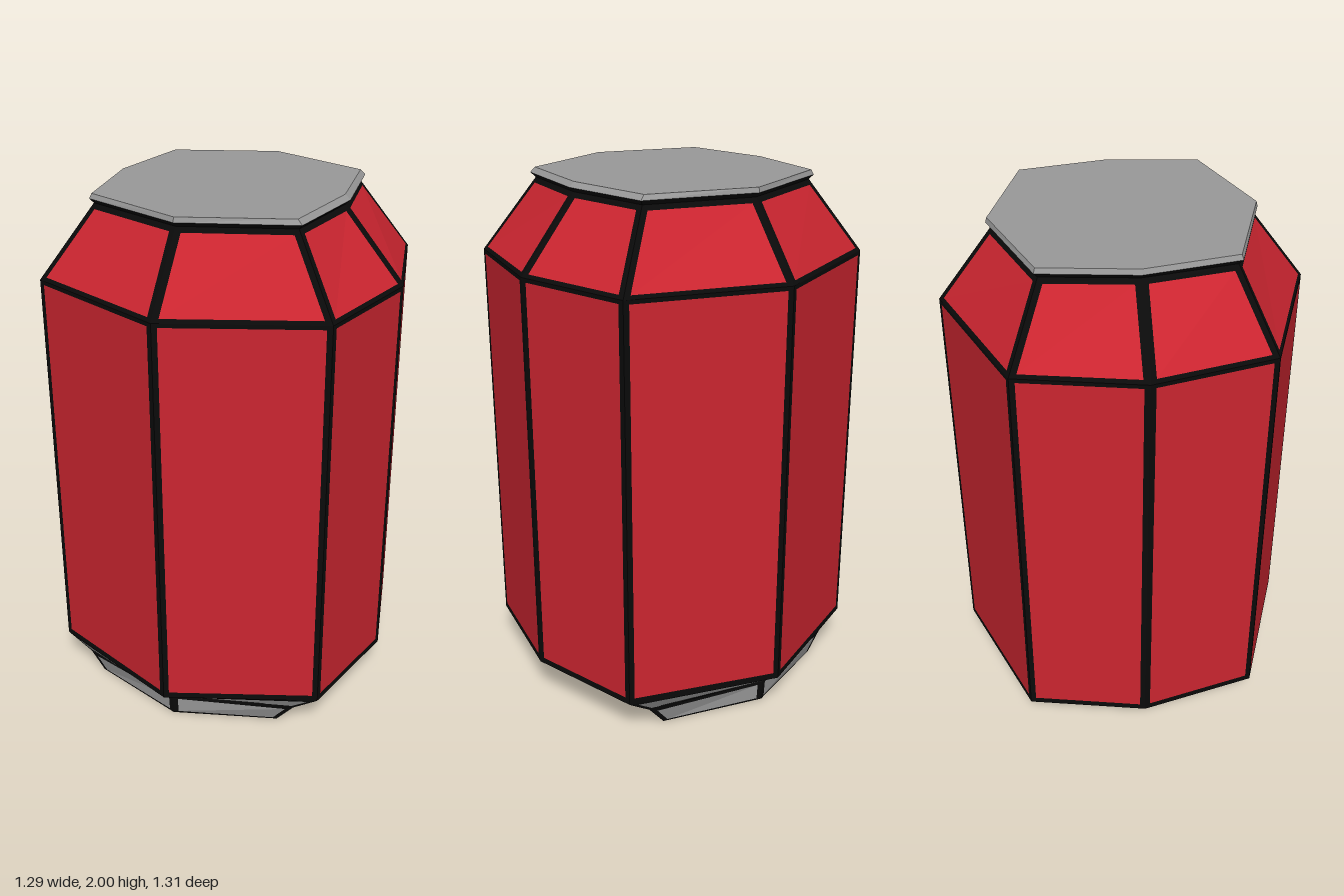
import * as THREE from 'three';

const red = new THREE.MeshStandardMaterial({ color: 0xcc2530 });
const grey = new THREE.MeshStandardMaterial({ color: 0x999999 });
const black = new THREE.MeshStandardMaterial({ color: 0x0a0a0a });
red.name = 'red paint';
grey.name = 'bare metal';
black.name = 'black outline';

// Eight-cornered ring, starting at +x and turning through +z, -x and -z.
function ring(y, right, left, cornerR, cornerL, cornerZ, front, mid = -0.01) {
  return [
    [right, 0], [cornerR, cornerZ], [mid, front], [cornerL, cornerZ],
    [left, 0], [cornerL, -cornerZ], [mid, -front], [cornerR, -cornerZ],
  ].map(([x, z]) => new THREE.Vector3(x, y, z));
}

// Band of eight facets between two rings; each facet is a panel in a black frame.
function band(name, lower, upper, panelMaterial, edge) {
  const frame = [], panel = [];
  const quad = (out, a, b, c, d) => {
    for (const p of [a, b, c, a, c, d]) out.push(p.x, p.y, p.z);
  };
  for (let i = 0; i < 8; i++) {
    const j = (i + 1) % 8;
    const [a, b, c, d] = [lower[j], lower[i], upper[i], upper[j]];
    const side = (k) => (k === 0 && edge.plainRight ? 0 : edge.side);
    const height = (a.distanceTo(d) + b.distanceTo(c)) / 2;
    const v0 = edge.bottom / height, v1 = 1 - edge.top / height;
    const at = (v) => {
      const p = a.clone().lerp(d, v), q = b.clone().lerp(c, v), w = p.distanceTo(q);
      return [p, p.clone().lerp(q, side(j) / w), q.clone().lerp(p, side(i) / w), q];
    };
    const [p0, p1, p2, p3] = at(v0), [q0, q1, q2, q3] = at(v1);
    quad(panel, p1, p2, q2, q1);
    quad(frame, a, b, p3, p0);
    quad(frame, q0, q3, c, d);
    quad(frame, p0, p1, q1, q0);
    quad(frame, p2, p3, q3, q2);
  }
  const geometry = new THREE.BufferGeometry();
  geometry.setAttribute('position', new THREE.Float32BufferAttribute([...frame, ...panel], 3));
  geometry.addGroup(0, frame.length / 3, 0);
  geometry.addGroup(frame.length / 3, panel.length / 3, 1);
  geometry.computeVertexNormals();
  const mesh = new THREE.Mesh(geometry, [black, panelMaterial]);
  mesh.name = name;
  return mesh;
}

// Flat lid filling a ring, facing up (1) or down (-1).
function cap(name, points, facing) {
  const shape = new THREE.Shape(points.map((p) => new THREE.Vector2(p.x, -facing * p.z)));
  const geometry = new THREE.ShapeGeometry(shape);
  geometry.rotateX(-facing * Math.PI / 2);
  geometry.translate(0, points[0].y, 0);
  const mesh = new THREE.Mesh(geometry, grey);
  mesh.name = name;
  return mesh;
}

export function createModel() {
  const group = new THREE.Group();
  group.name = 'can';

  // Rings from the ground up; the base is flattened on its +x side.
  const base = ring(0, 0.37, -0.47, 0.37, -0.4, 0.43, 0.555, -0.02);
  const foot = ring(0.088, 0.44, -0.52, 0.44, -0.45, 0.44, 0.56, -0.02);
  const bodyLow = ring(0.157, 0.645, -0.65, 0.538, -0.552, 0.443, 0.655);
  const bodyHigh = ring(1.7, 0.645, -0.65, 0.538, -0.552, 0.443, 0.655);
  const neckTop = ring(1.965, 0.42, -0.435, 0.37, -0.385, 0.325, 0.455);
  const rimLow = ring(1.982, 0.438, -0.45, 0.385, -0.395, 0.338, 0.473);
  const rimTop = ring(2, 0.418, -0.442, 0.368, -0.388, 0.333, 0.468);
  const baseInner = base.map((p) => new THREE.Vector3(p.x * 0.97, 0, p.z * 0.97));
  const none = { bottom: 0, top: 0, side: 0 };

  // Underside and metal foot
  group.add(cap('underside', baseInner, -1));
  group.add(band('undersideOutline', baseInner, base, black, none));
  group.add(band('foot', base, foot, grey, { bottom: 0.008, top: 0.018, side: 0.02, plainRight: true }));
  group.add(band('footSlope', foot, bodyLow, grey, { bottom: 0.02, top: 0.022, side: 0.02, plainRight: true }));

  // Painted body and shoulder
  group.add(band('body', bodyLow, bodyHigh, red, { bottom: 0.024, top: 0.015, side: 0.02 }));
  group.add(band('shoulder', bodyHigh, neckTop, red, { bottom: 0.016, top: 0.022, side: 0.022 }));

  // Metal rim and lid
  group.add(band('rimUnderside', neckTop, rimLow, black, none));
  group.add(band('rim', rimLow, rimTop, grey, none));
  group.add(cap('lid', rimTop, 1));
  return group;
}
